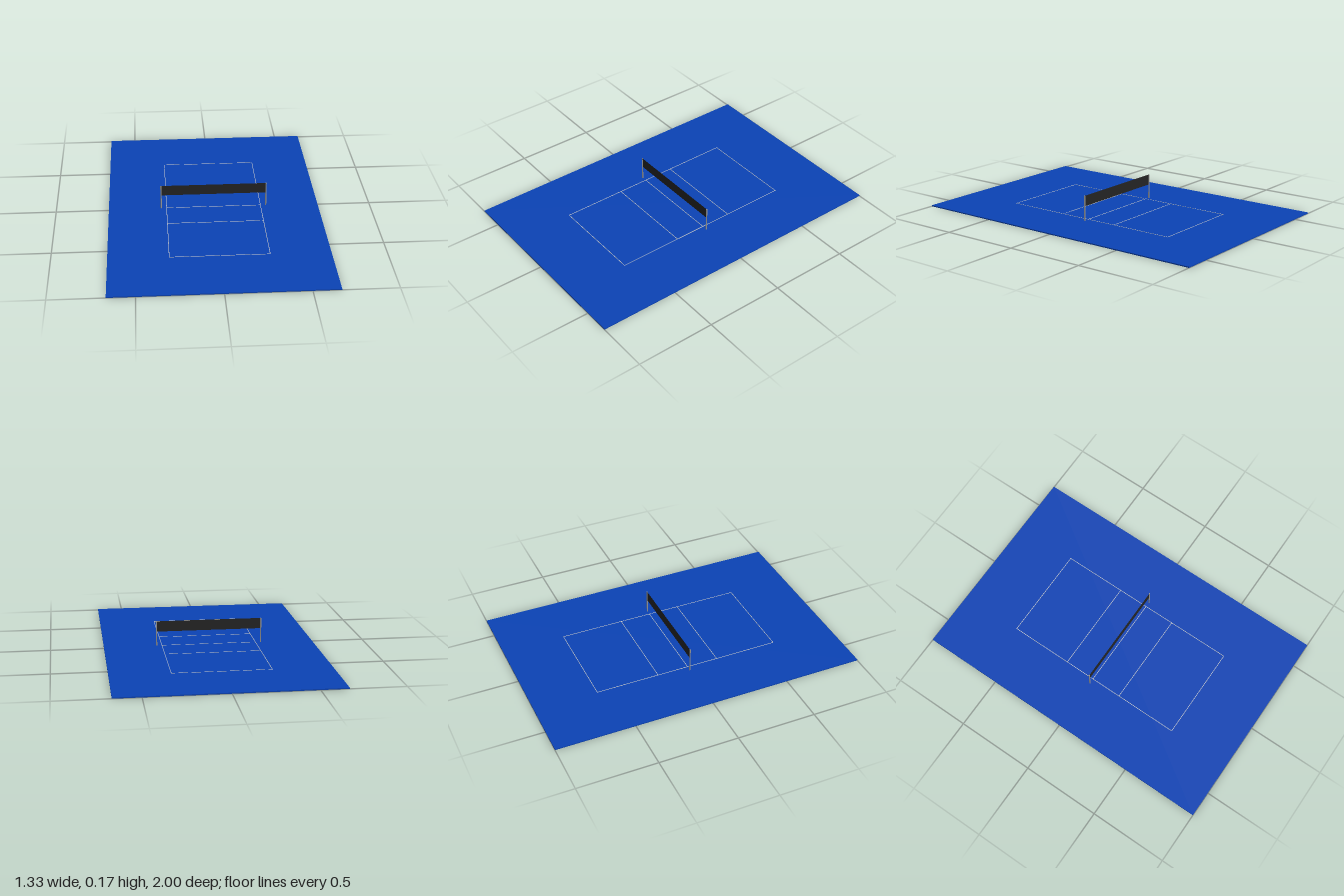
import * as THREE from 'three';

export function createModel() {
  const model = new THREE.Group();
  const material = (color, side = THREE.FrontSide) => new THREE.MeshStandardMaterial({ color, side });
  const floorMat = material(0x0b43b5);
  const lineMat = material(0xcccccc);
  const postMat = material(0x999999);
  const netMat = material(0x242424, THREE.DoubleSide);

  const add = (name, geometry, mat, x, y, z) => {
    const mesh = new THREE.Mesh(geometry, mat);
    mesh.name = name;
    mesh.position.set(x, y, z);
    model.add(mesh);
  };

  const floorTop = 0.0067, lineWidth = 0.0033, lineHeight = 0.0012;
  const courtWidth = 0.6, courtLength = 1.2;
  const netTop = 0.165, netHeight = 0.067, postX = 0.3335;

  // Floor slab
  add('floor', new THREE.BoxGeometry(1.333, floorTop, 2), floorMat, 0, floorTop / 2, 0);

  // Court markings: end lines, attack lines and centre line, then side lines
  const lineY = floorTop + lineHeight / 2;
  const crossLines = { backEndLine: -0.6, backAttackLine: -0.2, centreLine: 0, frontAttackLine: 0.2, frontEndLine: 0.6 };
  for (const [name, z] of Object.entries(crossLines)) {
    add(name, new THREE.BoxGeometry(courtWidth + lineWidth, lineHeight, lineWidth), lineMat, 0, lineY, z);
  }
  for (const [name, side] of [['leftSideLine', 1], ['rightSideLine', -1]]) {
    add(name, new THREE.BoxGeometry(lineWidth, lineHeight, courtLength - lineWidth), lineMat, side * courtWidth / 2, lineY, 0);
  }

  // Net posts
  const postHeight = netTop - floorTop;
  for (const [name, side] of [['leftPost', 1], ['rightPost', -1]]) {
    add(name, new THREE.CylinderGeometry(0.004, 0.004, postHeight, 16), postMat, side * postX, floorTop + postHeight / 2, 0);
  }

  // Net, a thin sheet between the posts
  add('net', new THREE.PlaneGeometry(2 * postX, netHeight), netMat, 0, netTop - netHeight / 2, 0);

  return model;
}
